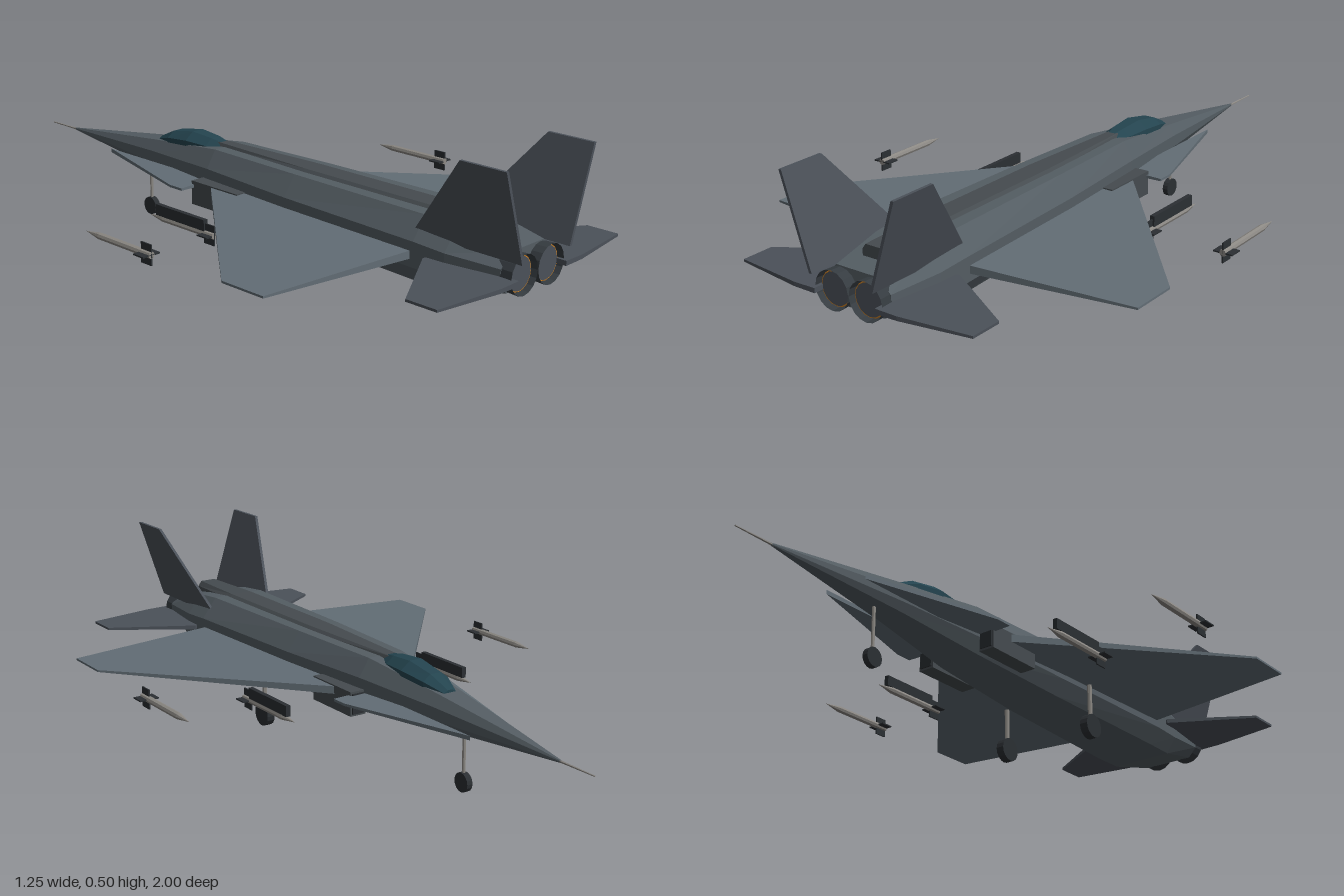
import * as THREE from 'three';

const mat = (color, side = THREE.FrontSide) =>
  new THREE.MeshStandardMaterial({ color, flatShading: true, side });
const HULL = mat(0x545d63), WING = mat(0x626d75), TAIL = mat(0x4b5159), DARK = mat(0x2b2f33),
  SPINE = mat(0x454b4f), GLASS = mat(0x24444f), METAL = mat(0x8c8984), GLOW = mat(0xd08020),
  NOZZLE = mat(0x363c41, THREE.DoubleSide);

// Skin a closed, flat-shaded hull over rings (counter-clockwise seen from +z, z increasing)
function loft(rings) {
  const pos = [], n = rings[0].length;
  const tri = (a, b, c) => pos.push(...a, ...b, ...c);
  for (let i = 0; i < rings.length - 1; i++) {
    for (let k = 0; k < n; k++) {
      const l = (k + 1) % n, A = rings[i], B = rings[i + 1];
      tri(A[k], A[l], B[k]);
      tri(A[l], B[l], B[k]);
    }
  }
  const first = rings[0], last = rings[rings.length - 1];
  for (let k = 1; k < n - 1; k++) {
    tri(first[0], first[k + 1], first[k]);
    tri(last[0], last[k], last[k + 1]);
  }
  const g = new THREE.BufferGeometry();
  g.setAttribute('position', new THREE.Float32BufferAttribute(pos, 3));
  g.computeVertexNormals();
  return g;
}

// Eight-sided section: half width w between heights bottom and top
function octagon([z, w, top, bottom], flat = [0.64, 0.75]) {
  const h = top - bottom;
  const half = [[flat[1] * w, bottom], [w, bottom + 0.27 * h], [w, bottom + 0.66 * h], [flat[0] * w, top]];
  const mirror = half.slice().reverse().map(([x, y]) => [-x, y]);
  return [...half, ...mirror].map(([x, y]) => [x, y, z]);
}

// Horizontal surface from an (x, z) outline, thinning from root to tip
function panel(outline, side, y, thick, tipRatio) {
  const shape = new THREE.Shape(outline.map(([x, z]) => new THREE.Vector2(x * side, z)));
  const g = new THREE.ExtrudeGeometry(shape, { depth: thick, bevelEnabled: false });
  g.translate(0, 0, -thick / 2).rotateX(Math.PI / 2);
  const xs = outline.map((p) => p[0]), x0 = Math.min(...xs), x1 = Math.max(...xs);
  const p = g.attributes.position;
  for (let i = 0; i < p.count; i++) {
    const t = (Math.abs(p.getX(i)) - x0) / (x1 - x0);
    p.setY(i, y + p.getY(i) * (1 + (tipRatio - 1) * t));
  }
  g.computeVertexNormals();
  return g;
}

// Upright fin from a (z, y) outline, leaning outwards
function finGeometry(side) {
  const outline = [[0.66, 0.25], [1, 0.25], [1, 0.505], [0.86, 0.505], [0.67, 0.27]];
  const shape = new THREE.Shape(outline.map(([z, y]) => new THREE.Vector2(z, y)));
  const g = new THREE.ExtrudeGeometry(shape, { depth: 0.009, bevelEnabled: false });
  g.translate(0, 0, -0.0045).rotateY(-Math.PI / 2);
  const p = g.attributes.position;
  for (let i = 0; i < p.count; i++) {
    p.setX(i, p.getX(i) + side * (0.1 + (p.getY(i) - 0.25) * 0.32));
  }
  g.computeVertexNormals();
  return g;
}

function add(parent, name, geometry, material, x = 0, y = 0, z = 0) {
  const m = new THREE.Mesh(geometry, material);
  m.name = name;
  m.position.set(x, y, z);
  parent.add(m);
  return m;
}

// Cylinder along z; rBack is the radius at its +z end
const rod = (rFront, rBack, len, sides = 8, open = false) =>
  new THREE.CylinderGeometry(rBack, rFront, len, sides, 1, open).rotateX(Math.PI / 2);

function missile() {
  const g = new THREE.Group();
  g.name = 'missile';
  add(g, 'missileBody', rod(0.01, 0.01, 0.21), METAL, 0, 0, 0.03);
  add(g, 'missileNose', rod(0, 0.01, 0.06), METAL, 0, 0, -0.105);
  add(g, 'missileFins', new THREE.BoxGeometry(0.058, 0.004, 0.04), DARK, 0, 0, 0.115);
  add(g, 'missileFins', new THREE.BoxGeometry(0.004, 0.058, 0.04), DARK, 0, 0, 0.115);
  return g;
}

function landingGear(name, x, z, radius, width, top, strut) {
  const g = new THREE.Group();
  g.name = name;
  g.position.set(x, 0, z);
  const wheel = new THREE.CylinderGeometry(radius, radius, width, 16).rotateZ(Math.PI / 2);
  add(g, 'wheel', wheel, DARK, 0, radius, 0);
  const leg = new THREE.CylinderGeometry(strut, strut, top - radius, 8);
  add(g, 'strut', leg, METAL, 0, (top + radius) / 2, 0);
  return g;
}

export function createModel() {
  const jet = new THREE.Group();
  jet.name = 'fighterJet';

  // Fuselage, from the needle nose to the engine bay
  const hull = [
    [-0.88, 0.003, 0.208, 0.202], [-0.43, 0.056, 0.265, 0.172], [-0.14, 0.092, 0.298, 0.143],
    [0.2, 0.115, 0.3, 0.127], [0.68, 0.133, 0.3, 0.118], [0.78, 0.13, 0.29, 0.118],
    [0.94, 0.108, 0.262, 0.155],
  ];
  add(jet, 'fuselage', loft(hull.map((s) => octagon(s))), HULL);
  add(jet, 'noseProbe', rod(0.002, 0.004, 0.14, 6), METAL, 0, 0.205, -0.93);

  // Dorsal spine and canopy
  const spine = [
    [-0.2, 0.02, 0.306, 0.27], [0.2, 0.045, 0.308, 0.27], [0.66, 0.048, 0.308, 0.27], [0.88, 0.036, 0.306, 0.262],
  ];
  add(jet, 'dorsalSpine', loft(spine.map((s) => octagon(s, [0.7, 1]))), SPINE);
  const canopy = [
    [-0.435, 0.02, 0.272, 0.25], [-0.37, 0.042, 0.302, 0.25], [-0.28, 0.05, 0.318, 0.25],
    [-0.2, 0.042, 0.312, 0.255], [-0.145, 0.02, 0.303, 0.27],
  ];
  add(jet, 'canopy', loft(canopy.map((s) => octagon(s, [0.4, 0.9]))), GLASS);

  for (const side of [1, -1]) {
    // Lifting surfaces
    const wing = [[0.09, -0.13], [0.607, 0.47], [0.607, 0.615], [0.09, 0.675]];
    add(jet, 'wing', panel(wing, side, 0.2, 0.024, 0.25), WING);
    const foreplane = [[0.07, -0.61], [0.185, -0.2], [0.185, -0.15], [0.07, -0.15]];
    add(jet, 'foreplane', panel(foreplane, side, 0.2, 0.012, 0.6), WING);
    const tail = [[0.1, 0.745], [0.14, 0.72], [0.38, 0.865], [0.38, 0.962], [0.17, 0.99], [0.1, 0.99]];
    add(jet, 'tailplane', panel(tail, side, 0.2, 0.014, 0.5), TAIL);
    add(jet, 'tailFin', finGeometry(side), TAIL);

    // Air intake with a dark mouth
    add(jet, 'airIntake', new THREE.BoxGeometry(0.05, 0.072, 0.19), SPINE, side * 0.11, 0.179, -0.065);
    add(jet, 'intakeMouth', new THREE.BoxGeometry(0.04, 0.06, 0.006), DARK, side * 0.11, 0.179, -0.161);

    // Engine nozzle
    const nx = side * 0.056;
    add(jet, 'nozzle', rod(0.05, 0.055, 0.09, 16, true), NOZZLE, nx, 0.206, 0.93);
    add(jet, 'nozzleCore', rod(0.046, 0.046, 0.05, 16), TAIL, nx, 0.206, 0.935);
    add(jet, 'burnerRing', new THREE.TorusGeometry(0.047, 0.002, 6, 16), GLOW, nx, 0.206, 0.958);

    // Missiles at the wing tips and under the wings
    const outer = missile();
    outer.position.set(side * 0.598, 0.195, 0.063);
    const inner = missile();
    inner.position.set(side * 0.31, 0.157, -0.01);
    jet.add(outer, inner);
    add(jet, 'pylon', new THREE.BoxGeometry(0.014, 0.032, 0.2), DARK, side * 0.31, 0.18, -0.01);

    jet.add(landingGear('mainGear', side * 0.155, 0.27, 0.036, 0.025, 0.168, 0.007));
  }
  jet.add(landingGear('noseGear', 0, -0.5, 0.028, 0.018, 0.19, 0.005));
  return jet;
}
